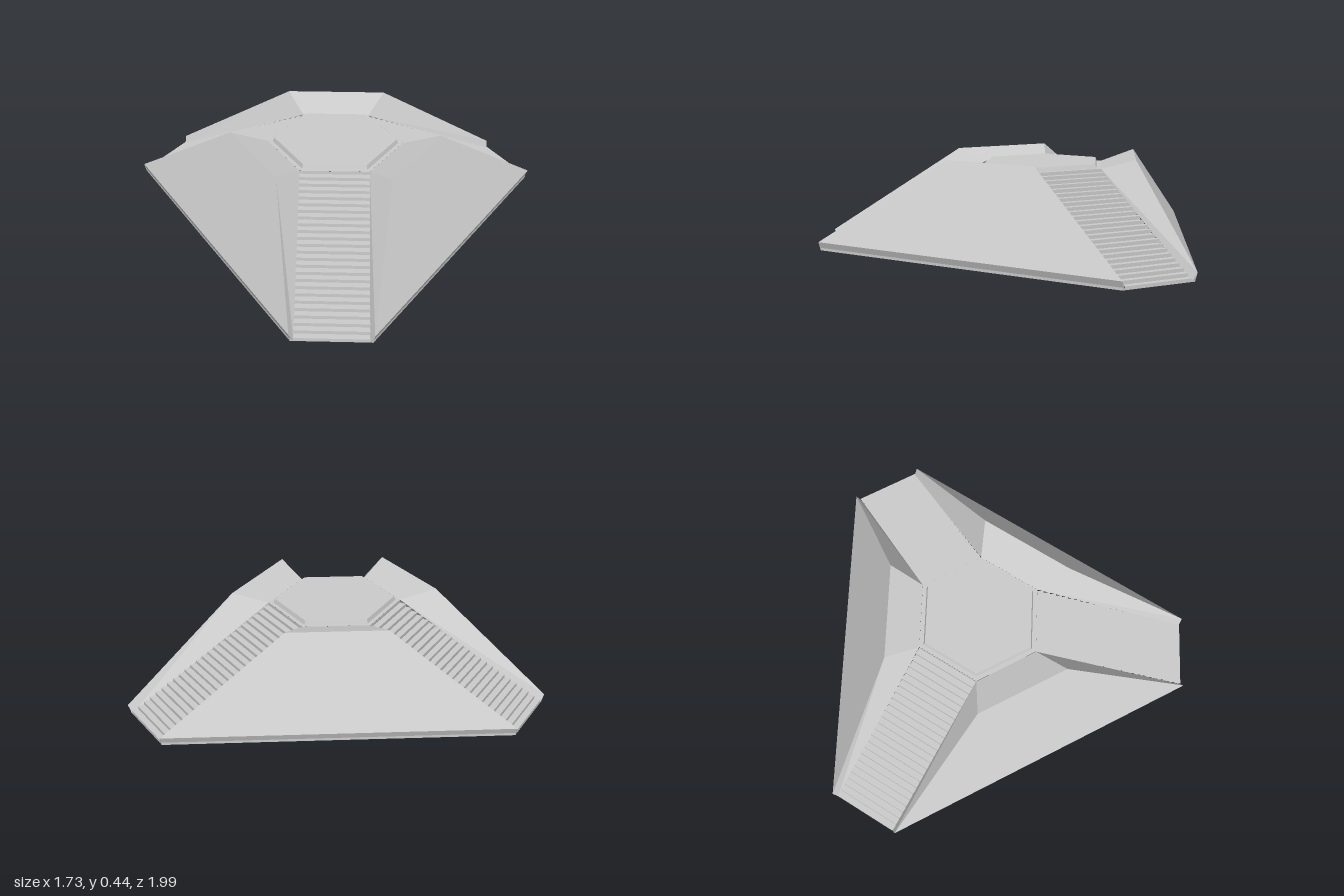
import * as THREE from 'three';

const material = new THREE.MeshStandardMaterial({ color: 0xcccccc, flatShading: true, side: THREE.DoubleSide });

// Builds one mesh from flat polygons, each a list of [x, y, z] corners
function polygonMesh(name, polygons) {
  const positions = [];
  for (const p of polygons) {
    for (let i = 1; i < p.length - 1; i++) positions.push(...p[0], ...p[i], ...p[i + 1]);
  }
  const geometry = new THREE.BufferGeometry();
  geometry.setAttribute('position', new THREE.Float32BufferAttribute(positions, 3));
  geometry.computeVertexNormals();
  const mesh = new THREE.Mesh(geometry, material);
  mesh.name = name;
  return mesh;
}

// Hollow sloping block facing +x, with its ridge, inner slope and skirt
function createSlope() {
  const pair = (x, y, z) => [[x, y, z], [x, y, -z]];
  const [tipL, tipR] = pair(0.68, 0.04, 0.815);
  const [ridgeL, ridgeR] = pair(0.44, 0.44, 0.24);
  const [innerL, innerR] = pair(0.28, 0.39, 0.162);
  const [skirtL, skirtR] = pair(0.67, 0.012, 0.81);
  const [baseL, baseR] = pair(0.67, 0, 0.81);
  const [footL, footR] = pair(0.656, 0, 0.816);

  const group = new THREE.Group();
  group.name = 'slopeBlock';
  group.add(
    polygonMesh('outerSlope', [[tipL, tipR, ridgeR, ridgeL]]),
    polygonMesh('innerSlope', [[ridgeL, ridgeR, innerR, innerL]]),
    polygonMesh('stairWalls', [[tipL, ridgeL, innerL, footL], [footR, innerR, ridgeR, tipR]]),
    polygonMesh('skirt', [
      [skirtL, skirtR, tipR, tipL],
      [baseL, baseR, skirtR, skirtL],
      [tipL, footL, baseL, skirtL],
      [skirtR, baseR, footR, tipR],
    ]),
  );
  return group;
}

// Straight flight rising towards the centre, facing +x
function createStairs() {
  const treads = 24, outer = 1.035, inner = 0.28, top = 0.39, w = 0.162;
  const run = (outer - inner) / treads, rise = top / (treads + 1);
  const strip = (x0, y0, x1, y1) => [[x0, y0, w], [x0, y0, -w], [x1, y1, -w], [x1, y1, w]];
  const faces = [];
  for (let i = 0; i <= treads; i++) {
    const x = outer - i * run, y = (i + 1) * rise;
    faces.push(strip(x, y - rise, x, y));
    if (i < treads) faces.push(strip(x, y, x - run, y));
  }
  return polygonMesh('stairs', faces);
}

// Six-sided top with a low raised plate
function createPlatform() {
  const profile = [[0.323, 0.39], [0.3, 0.39], [0.293, 0.41], [0, 0.41]].map(([r, y]) => new THREE.Vector2(r, y));
  const geometry = new THREE.LatheGeometry(profile, 6).toNonIndexed();
  geometry.computeVertexNormals();
  const mesh = new THREE.Mesh(geometry, material);
  mesh.name = 'platform';
  return mesh;
}

export function createModel() {
  const model = new THREE.Group();
  model.name = 'steppedPlatform';
  const body = new THREE.Group();
  body.name = 'body';
  body.position.x = 0.18;
  model.add(body);

  body.add(createPlatform());
  // Slopes and stairs alternate around the centre
  for (let i = 0; i < 3; i++) {
    const slope = createSlope();
    slope.rotation.y = (i * 2 * Math.PI) / 3;
    const stairs = createStairs();
    stairs.rotation.y = ((i * 2 + 1) * Math.PI) / 3;
    body.add(slope, stairs);
  }
  return model;
}
